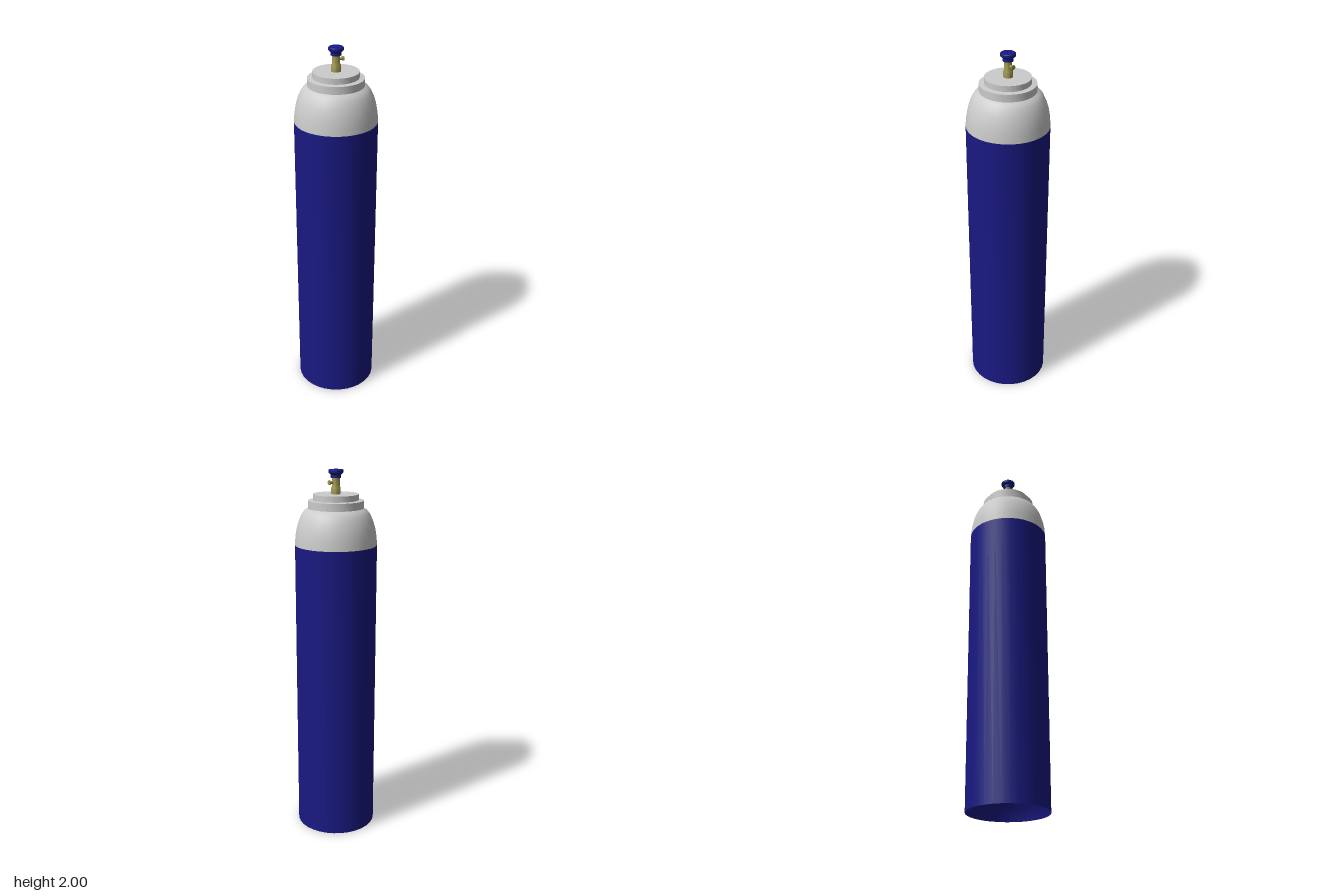
import * as THREE from 'three';
import { toCreasedNormals } from 'three/addons/utils/BufferGeometryUtils.js';

const grey = new THREE.MeshStandardMaterial({ color: 0xcccccc });
const blue = new THREE.MeshStandardMaterial({ color: 0x191983 });
const brass = new THREE.MeshStandardMaterial({ color: 0x9c9650 });

// Turned part from [radius, height] pairs, with sharp edges kept
function turned(name, profile, material, sides = 32) {
  const points = profile.map(([r, y]) => new THREE.Vector2(r, y));
  const geometry = toCreasedNormals(new THREE.LatheGeometry(points, sides), 0.6);
  const mesh = new THREE.Mesh(geometry, material);
  mesh.name = name;
  return mesh;
}

export function createModel() {
  const model = new THREE.Group();
  model.name = 'gasCylinder';

  // Body with a hollow, dished base
  model.add(turned('body', [
    [0, 0.155], [0.125, 0.15], [0.165, 0.12], [0.195, 0.075], [0.212, 0.03], [0.218, 0], [0.218, 1.61],
  ], blue));

  // Rounded shoulder
  model.add(turned('shoulder', [
    [0.218, 1.61], [0.215, 1.655], [0.207, 1.7], [0.195, 1.74],
    [0.18, 1.772], [0.165, 1.792], [0.147, 1.802],
  ], grey));

  // Stepped neck rings
  model.add(turned('lowerCollar', [[0.147, 1.8], [0.147, 1.842], [0.115, 1.845]], grey));
  model.add(turned('upperCollar', [[0.12, 1.842], [0.12, 1.875], [0, 1.875]], grey));

  // Valve stem with side outlet
  const valve = new THREE.Group();
  valve.name = 'valve';
  valve.add(turned('stem', [
    [0.025, 1.875], [0.025, 1.905], [0.02, 1.915], [0.02, 1.962], [0, 1.962],
  ], brass, 24));
  const outlet = turned('outlet', [
    [0.007, 0.015], [0.007, 0.036], [0.012, 0.036], [0.012, 0.043], [0, 0.043],
  ], brass, 16);
  outlet.rotation.z = -Math.PI / 2;
  outlet.position.y = 1.935;
  valve.add(outlet);
  model.add(valve);

  // Hand knob
  model.add(turned('knob', [
    [0, 1.958], [0.027, 1.958], [0.027, 1.974], [0.039, 1.984], [0.039, 1.997], [0.036, 2], [0, 2],
  ], blue));

  return model;
}
